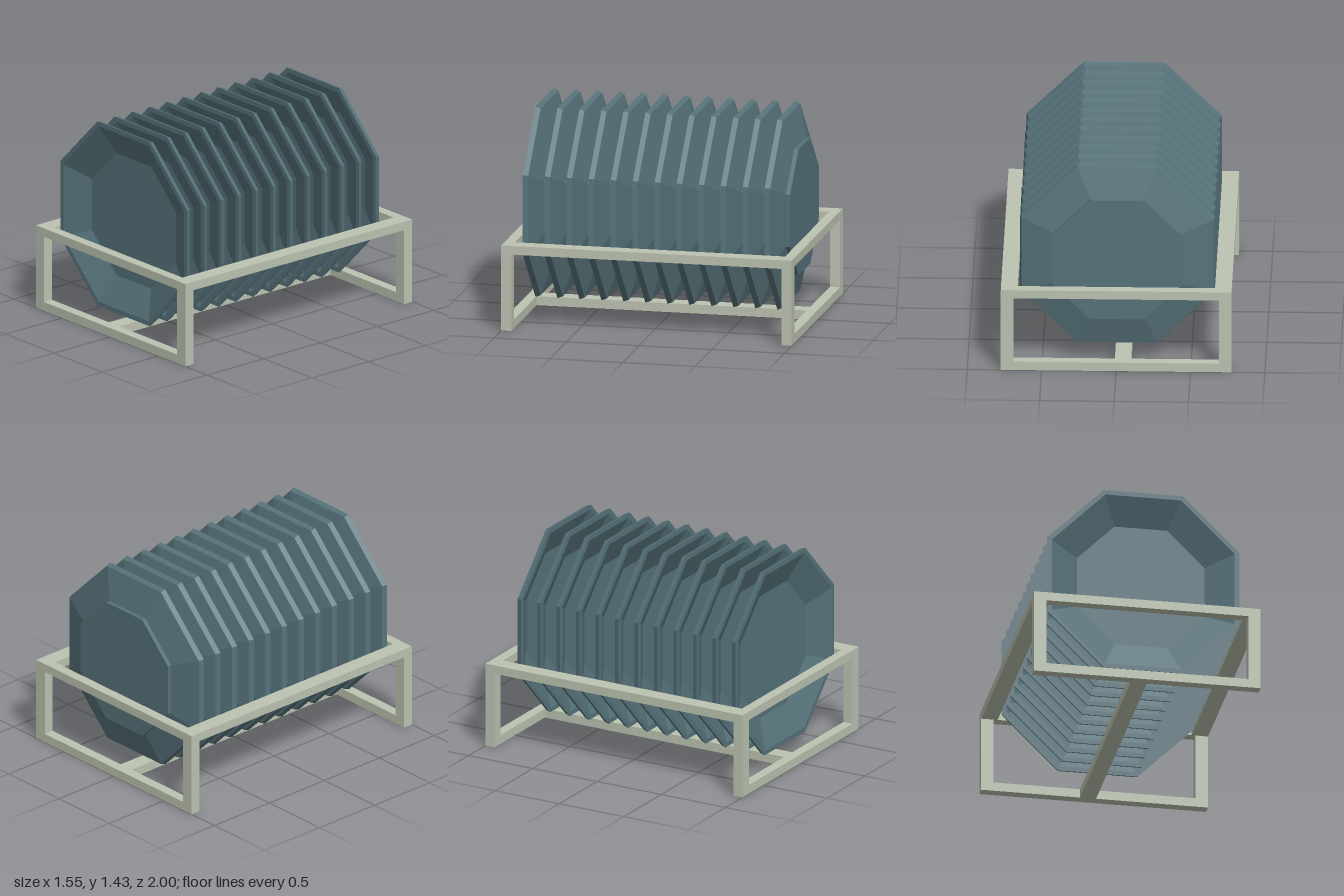
import * as THREE from 'three';

export function createModel() {
  const model = new THREE.Group();
  model.name = 'plateRack';

  const frameColour = new THREE.MeshStandardMaterial({ color: 0xbcc3b1 });
  frameColour.name = 'paleGreyGreen';
  const plateColour = new THREE.MeshStandardMaterial({ color: 0x56727a });
  plateColour.name = 'slateBlue';

  // Box bar given by its low and high corners
  function bar(name, parent, x0, x1, y0, y1, z0, z1) {
    const mesh = new THREE.Mesh(new THREE.BoxGeometry(x1 - x0, y1 - y0, z1 - z0), frameColour);
    mesh.position.set((x0 + x1) / 2, (y0 + y1) / 2, (z0 + z1) / 2);
    mesh.name = name;
    parent.add(mesh);
  }

  const W = 0.775, H = 0.587, low = 0.062, high = 0.527, inner = 0.93;

  // Rectangular frame at each end
  const rack = new THREE.Group();
  rack.name = 'rack';
  model.add(rack);
  for (const [name, z0, z1] of [['frontFrame', inner, 1], ['backFrame', -1, -inner]]) {
    const end = new THREE.Group();
    end.name = name;
    rack.add(end);
    bar('bottomBar', end, -W, W, 0, low, z0, z1);
    bar('topBar', end, -W, W, high, H, z0, z1);
    bar('leftPost', end, 0.69, W, low, high, z0, z1);
    bar('rightPost', end, -W, -0.69, low, high, z0, z1);
  }

  // Rails joining the two ends
  bar('leftRail', rack, 0.663, W, high, H, -inner, inner);
  bar('rightRail', rack, -W, -0.663, high, H, -inner, inner);
  bar('centreRail', rack, -0.1, 0.01, 0, low, -inner, inner);

  // Eight-sided plate: [distance to flat side, depth], from foot to rim to well
  const profile = [
    [0, 0], [0.435, 0], [0.435, 0.03], [0.645, 0.09],
    [0.657, 0.125], [0.625, 0.125], [0.435, 0.035], [0, 0.035],
  ].map(([r, d]) => new THREE.Vector2(r / Math.cos(Math.PI / 8), d));
  const plateShape = new THREE.LatheGeometry(profile, 8, Math.PI / 8)
    .rotateX(Math.PI / 2)
    .toNonIndexed();
  plateShape.computeVertexNormals();

  // Row of twelve plates standing in the rack
  const plates = new THREE.Group();
  plates.name = 'plates';
  model.add(plates);
  for (let i = 0; i < 12; i++) {
    const plate = new THREE.Mesh(plateShape, plateColour);
    plate.name = 'plate' + (i + 1);
    plate.position.set(-0.005, 0.777, 0.755 - i * 0.1515);
    plates.add(plate);
  }

  return model;
}
